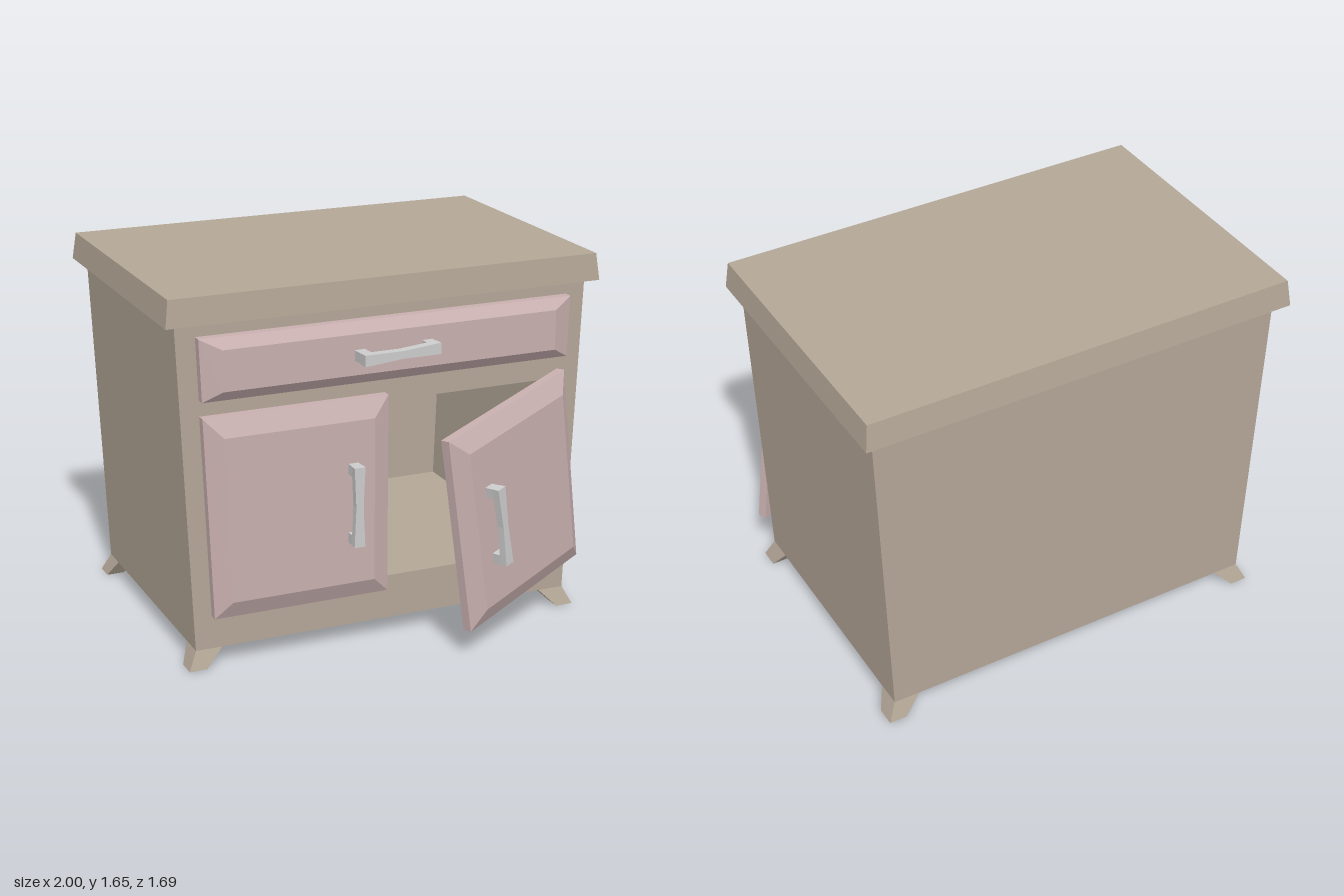
import * as THREE from 'three';

const wood = new THREE.MeshStandardMaterial({ color: 0xb3a696, flatShading: true });
const panel = new THREE.MeshStandardMaterial({ color: 0xc8afaf, flatShading: true });
const metal = new THREE.MeshStandardMaterial({ color: 0xc6cac9, flatShading: true });

// Solid through four-cornered sections [corners, z], corners counter-clockwise seen from +z
function loft(sections) {
  const pos = [];
  const at = (s, i) => [...sections[s][0][i % 4], sections[s][1]];
  const quad = (a, b, c, d) => pos.push(...a, ...b, ...c, ...a, ...c, ...d);
  const last = sections.length - 1;
  for (let s = 0; s < last; s++)
    for (let i = 0; i < 4; i++) quad(at(s, i), at(s, i + 1), at(s + 1, i + 1), at(s + 1, i));
  quad(at(0, 3), at(0, 2), at(0, 1), at(0, 0));
  quad(at(last, 0), at(last, 1), at(last, 2), at(last, 3));
  const geo = new THREE.BufferGeometry();
  geo.setAttribute('position', new THREE.Float32BufferAttribute(pos, 3));
  geo.computeVertexNormals();
  return geo;
}

const rect = (x0, x1, y0, y1) => [[x0, y0], [x1, y0], [x1, y1], [x0, y1]];

// Upright version: sections are [x0, x1, zBack, zFront, y]
const upright = (...sections) =>
  loft(sections.map(([x0, x1, z0, z1, y]) => [rect(x0, x1, -z1, -z0), y])).rotateX(-Math.PI / 2);

function add(parent, name, geo, mat) {
  const mesh = new THREE.Mesh(geo, mat);
  mesh.name = name;
  parent.add(mesh);
  return mesh;
}

// Raised panel with a bevelled border, its back at z = 0
const bevelled = (outer, inner) => loft([[outer, 0], [outer, 0.04], [inner, 0.08]]);

// Upright pull handle, waisted in the middle, its base at z = 0
function makeHandle(name) {
  const g = new THREE.Group();
  g.name = name;
  const section = (w, y) => [rect(-w, w, -0.07, -0.038), y];
  add(g, 'handleBar', loft([section(0.025, -0.18), section(0.017, 0), section(0.025, 0.18)])
    .rotateX(-Math.PI / 2), metal);
  for (const s of [-1, 1])
    add(g, 'handlePost', new THREE.BoxGeometry(0.046, 0.046, 0.06).translate(0, s * 0.156, 0.02), metal);
  return g;
}

export function createModel() {
  const model = new THREE.Group();
  model.name = 'cabinet';

  // Tapered carcass: hollow front part and a solid back panel
  const outline = () => new THREE.Shape(
    [[-0.89, 0.08], [0.89, 0.08], [0.95, 1.53], [-0.95, 1.53]].map(p => new THREE.Vector2(...p)));
  const frame = outline();
  frame.holes.push(new THREE.Path(
    [[-0.78, 0.28], [-0.81, 1.09], [0.81, 1.09], [0.78, 0.28]].map(p => new THREE.Vector2(...p))));
  const extrude = (shape, z0, z1) =>
    new THREE.ExtrudeGeometry(shape, { depth: z1 - z0, bevelEnabled: false }).translate(0, 0, z0);
  add(model, 'carcass', extrude(frame, -0.72, 0.415), wood);
  add(model, 'backPanel', extrude(outline(), -0.79, -0.72), wood);

  // Worktop
  add(model, 'top', upright([-1, 1, -0.845, 0.46, 1.53], [-0.985, 0.985, -0.83, 0.45, 1.65]), wood);

  // Splayed feet
  for (const s of [-1, 1])
    for (const f of [-1, 1]) {
      const span = (a, b, side) => (side > 0 ? [a, b] : [-b, -a]);
      const shift = ([a, b]) => [a - 0.1875, b - 0.1875];
      add(model, 'foot', upright(
        [...span(0.85, 0.93, s), ...shift(span(0.545, 0.632, f)), 0],
        [...span(0.77, 0.89, s), ...shift(span(0.485, 0.602, f)), 0.08]), wood);
    }

  // Drawer front with a slightly crooked handle
  const drawer = new THREE.Group();
  drawer.name = 'drawer';
  add(drawer, 'drawerFront', bevelled(
    [[-0.85, 1.2], [0.85, 1.2], [0.86, 1.472], [-0.86, 1.472]],
    rect(-0.77, 0.77, 1.248, 1.427)), panel);
  const pull = makeHandle('drawerHandle');
  pull.position.set(-0.005, 1.34, 0.08);
  pull.rotation.set(0, 0.06, Math.PI / 2 + 0.025);
  pull.scale.z = 1.25;
  drawer.add(pull);
  drawer.position.z = 0.415;
  model.add(drawer);

  // Doors: hinge edge follows the tapered side; the second is the mirror of the first
  const makeDoor = (name, s) => {
    const door = new THREE.Group();
    door.name = name;
    const side = pts => (s < 0 ? pts : pts.map(([x, y]) => [-x, y]).reverse());
    add(door, 'doorPanel', bevelled(
      side([[-0.815, 0.23], [-0.01, 0.23], [-0.01, 1.13], [-0.85, 1.13]]),
      side([[-0.745, 0.31], [-0.09, 0.31], [-0.09, 1.047], [-0.77, 1.047]])), panel);
    const handle = makeHandle('doorHandle');
    handle.position.set(s * 0.19, 0.68, 0.08);
    door.add(handle);
    model.add(door);
    return door;
  };
  makeDoor('rightDoor', -1).position.z = 0.415;

  // Left door hangs open and sags from its hinge
  const open = makeDoor('leftDoor', 1);
  const u = new THREE.Vector3(0.888, 0.142, -0.438).normalize();
  const n = u.clone().cross(new THREE.Vector3(-0.144, 0.989, 0.022)).normalize();
  const v = n.clone().cross(u);
  open.quaternion.setFromRotationMatrix(new THREE.Matrix4().makeBasis(u, v, n));
  open.position.set(0.08, 1.015, 0.785).addScaledVector(u, -0.01).addScaledVector(v, -1.13);

  return model;
}
